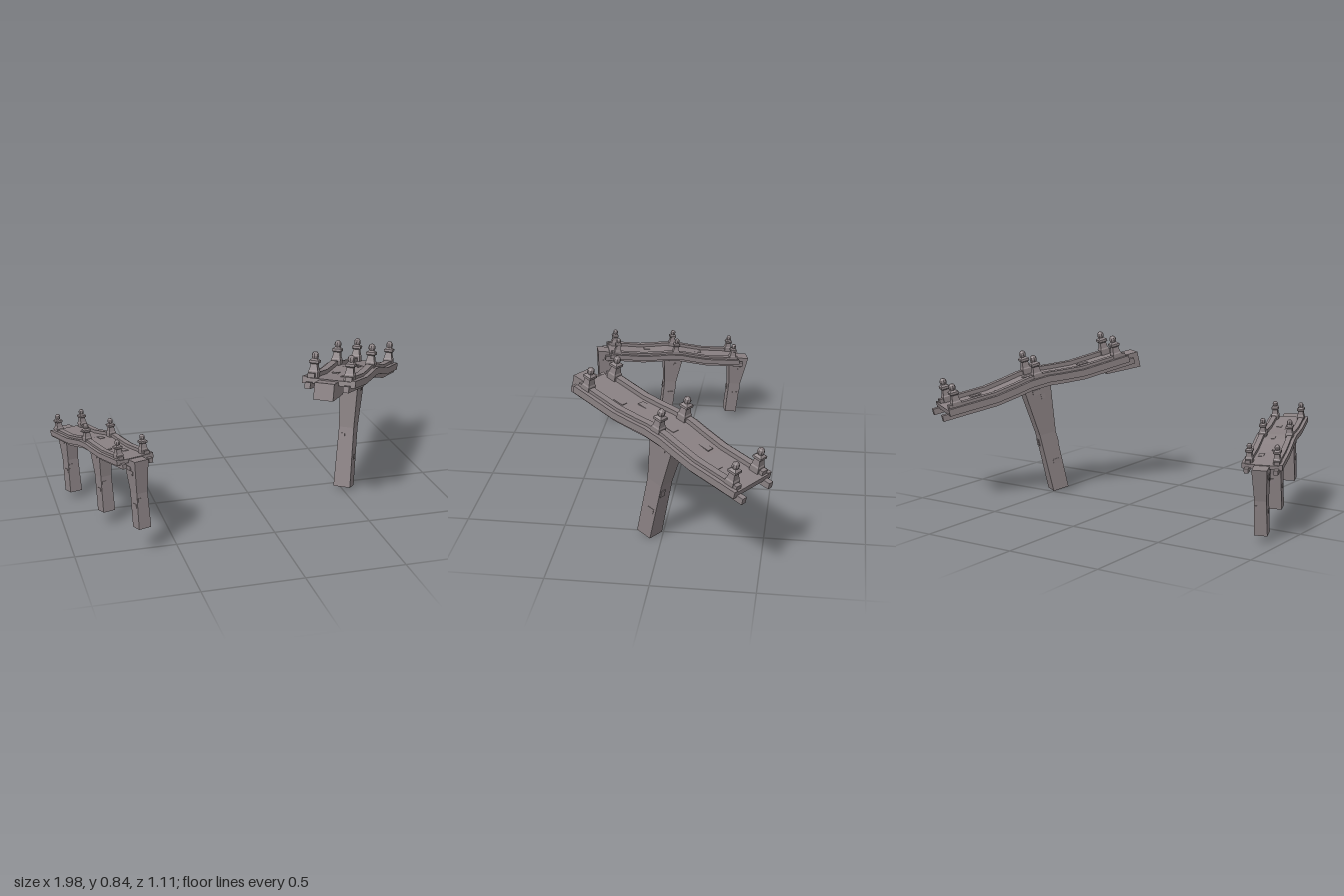
import * as THREE from 'three';

const stone = new THREE.MeshStandardMaterial({ color: 0x8a8183 });
stone.name = 'weathered stone';

// Deck curve: local x runs along the span, y is the walking surface height.
const CURVE = [
  [-0.62, -0.02], [-0.4, -0.022], [-0.25, -0.024], [-0.13, -0.011], [-0.05, 0],
  [0.05, 0], [0.13, -0.011], [0.25, -0.024], [0.4, -0.022], [0.62, -0.02],
];

function deckHeight(x) {
  for (let i = 1; i < CURVE.length; i++) {
    const [x0, y0] = CURVE[i - 1], [x1, y1] = CURVE[i];
    if (x <= x1) return y0 + (y1 - y0) * (x - x0) / (x1 - x0);
  }
  return CURVE[CURVE.length - 1][1];
}

function faceted(geometry) {
  const g = geometry.index ? geometry.toNonIndexed() : geometry;
  g.computeVertexNormals();
  return g;
}

function add(parent, geometry, name, x = 0, y = 0, z = 0) {
  const mesh = new THREE.Mesh(geometry, stone);
  mesh.name = name;
  mesh.position.set(x, y, z);
  parent.add(mesh);
  return mesh;
}

// A long member following the deck curve, from x0 to x1, low to high, z0 to z1.
function curvedBeam(parent, name, x0, x1, low, high, z0, z1) {
  const xs = [x0, ...CURVE.map((p) => p[0]).filter((x) => x > x0 && x < x1), x1];
  const pts = [
    ...xs.map((x) => new THREE.Vector2(x, deckHeight(x) + low)),
    ...xs.slice().reverse().map((x) => new THREE.Vector2(x, deckHeight(x) + high)),
  ];
  const g = new THREE.ExtrudeGeometry(new THREE.Shape(pts), { depth: z1 - z0, bevelEnabled: false });
  add(parent, g, name, 0, 0, z0);
}

// Square baluster post with waist, cap and ball finial.
function post(parent, x, z) {
  const g = new THREE.Group();
  g.name = 'post';
  const sides = [[0, -0.01], [0.05, -0.01], [0.05, 0.03], [0.042, 0.036], [0.033, 0.066],
    [0.048, 0.072], [0.048, 0.084], [0.026, 0.092], [0.02, 0.097], [0, 0.097]];
  const profile = sides.map(([s, y]) => new THREE.Vector2(s * Math.SQRT1_2, y));
  add(g, faceted(new THREE.LatheGeometry(profile, 4, Math.PI / 4)), 'postBody');
  const ball = new THREE.SphereGeometry(0.019, 8, 6).scale(1, 1.15, 1);
  add(g, faceted(ball), 'finial', 0, 0.107, 0);
  g.position.set(x, deckHeight(x), z);
  parent.add(g);
}

// Pillar flaring towards the deck, pinched at mid height.
function leg(parent, x, top, bottom) {
  const g = new THREE.Group();
  g.name = 'leg';
  const mid = top + (bottom - top) * 0.48;
  const rings = { '0.5': [top, 0.158, 0.102], '0': [mid, 0.092, 0.08], '-0.5': [bottom, 0.087, 0.09] };
  const geo = new THREE.BoxGeometry(1, 1, 1, 1, 2, 1);
  const p = geo.attributes.position;
  for (let i = 0; i < p.count; i++) {
    const [y, sx, sz] = rings[String(p.getY(i) + 0)];
    p.setXYZ(i, p.getX(i) * sx, y, p.getZ(i) * sz);
  }
  add(g, faceted(geo), 'pillar');
  // Raised stones on the broad faces
  for (const side of [-1, 1]) {
    add(g, new THREE.BoxGeometry(0.042, 0.028, 0.012), 'raisedStone', -0.012 * side, top - 0.06, side * 0.047);
    add(g, new THREE.BoxGeometry(0.024, 0.026, 0.012), 'raisedStone', 0.02 * side, top - 0.088, side * 0.044);
    add(g, new THREE.BoxGeometry(0.038, 0.026, 0.012), 'raisedStone', 0.012 * side, bottom + 0.16, side * 0.039);
    add(g, new THREE.BoxGeometry(0.012, 0.036, 0.03), 'raisedStone', side * 0.044, mid - 0.05, 0.02 * side);
  }
  g.position.x = x;
  parent.add(g);
}

// Deck slab, rails, stringers and posts shared by both spans.
function span(name) {
  const g = new THREE.Group();
  g.name = name;
  curvedBeam(g, 'deck', -0.515, 0.515, -0.026, 0, -0.118, 0.118);
  for (const s of [-1, 1]) {
    const beam = (label, x, low, high, a, b) =>
      curvedBeam(g, label, -x, x, low, high, Math.min(a * s, b * s), Math.max(a * s, b * s));
    beam('edgeBeam', 0.515, -0.03, 0.006, 0.112, 0.135);
    beam('rail', 0.505, -0.01, 0.022, 0.078, 0.113);
    beam('stringer', 0.55, -0.052, -0.02, 0.083, 0.112);
    for (const x of [-0.46, 0, 0.46]) post(g, x, 0.092 * s);
  }
  // Loose paving stones, barely proud of the deck
  for (const [x, z] of [[-0.3, 0.03], [-0.2, -0.04], [0.02, 0.02], [0.2, -0.03], [0.32, 0.04]]) {
    add(g, new THREE.BoxGeometry(0.06, 0.006, 0.035), 'pavingStone', x, deckHeight(x), z);
  }
  return g;
}

export function createModel() {
  const model = new THREE.Group();
  model.name = 'ruinedBridge';

  // Large span: one surviving leg and a broken leg head at the high end
  const large = span('largeSpan');
  leg(large, 0, -0.024, -0.645);
  const head = new THREE.Shape([[-0.6, -0.115], [-0.4, -0.1], [-0.4, -0.024], [-0.6, -0.03]]
    .map(([x, y]) => new THREE.Vector2(x, y)));
  add(large, new THREE.ExtrudeGeometry(head, { depth: 0.1, bevelEnabled: false }), 'brokenLegHead', 0, 0, -0.05);
  large.position.set(0.594, 0.64, -0.05);
  large.rotation.set(0, 0.98, -0.222);
  model.add(large);

  // Small span: three legs
  const small = span('smallSpan');
  for (const [x, top, bottom] of [[-0.525, -0.026, -0.5], [0, -0.022, -0.515], [0.525, -0.026, -0.495]]) {
    leg(small, x, top, bottom);
  }
  small.scale.setScalar(0.725);
  small.position.set(-0.797, 0.441, 0.116);
  small.rotation.set(0, 1.872, -0.124);
  model.add(small);

  return model;
}
